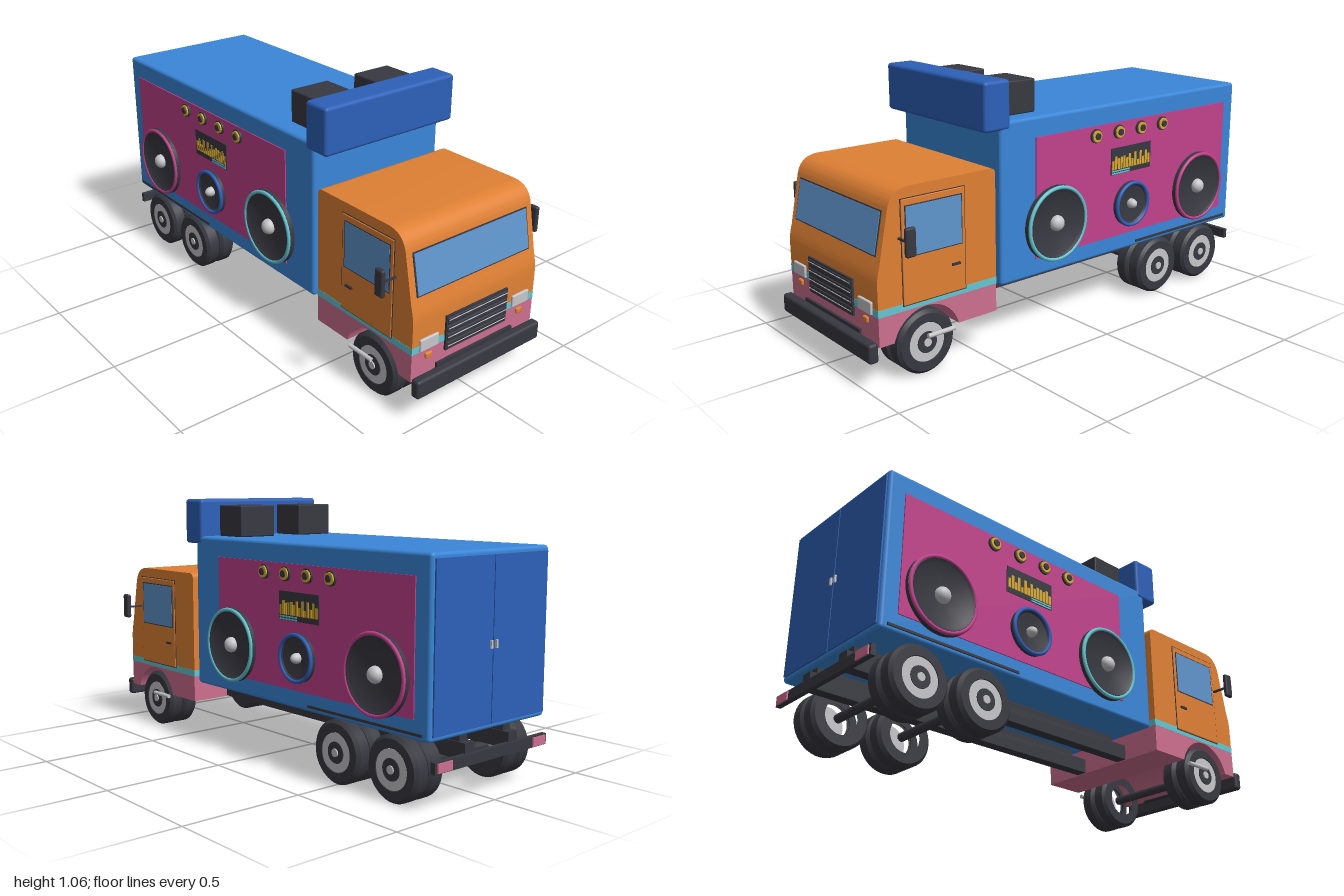
import * as THREE from 'three';
import { toCreasedNormals } from 'three/addons/utils/BufferGeometryUtils.js';
import { RoundedBoxGeometry } from 'three/addons/geometries/RoundedBoxGeometry.js';

const flat = (name, color) => {
  const m = new THREE.MeshStandardMaterial({ color });
  m.name = name;
  return m;
};

export function createModel() {
  const blue = flat('bodyBlue', 0x3a86d8), deepBlue = flat('deepBlue', 0x2d60b8);
  const orange = flat('cabOrange', 0xdf8034), pink = flat('dustyPink', 0xcd6f8e);
  const magenta = flat('magenta', 0xc2418c), cyan = flat('cyan', 0x64c6d2);
  const dark = flat('charcoal', 0x383841), glass = flat('glass', 0x5f95cc);
  const silver = flat('silver', 0xc6c6ca), gold = flat('gold', 0xd9a92e);
  const truck = new THREE.Group();
  truck.name = 'soundTruck';

  const add = (name, geo, mat, x = 0, y = 0, z = 0, parent = truck) => {
    const m = new THREE.Mesh(geo, mat);
    m.name = name;
    m.position.set(x, y, z);
    parent.add(m);
    return m;
  };
  const box = (name, mat, w, h, d, x, y, z, r = 0, parent = truck) =>
    add(name, r ? new RoundedBoxGeometry(w, h, d, 3, r) : new THREE.BoxGeometry(w, h, d), mat, x, y, z, parent);
  // round part whose axis lies along x
  const disc = (name, mat, r, w, x, y, z, seg = 32, parent = truck) =>
    add(name, new THREE.CylinderGeometry(r, r, w, seg).rotateZ(-Math.PI / 2), mat, x, y, z, parent);
  // side profile in (z, y), extruded across the width
  const across = (name, mat, shape, width) => {
    const g = new THREE.ExtrudeGeometry(shape, { depth: width, bevelEnabled: false, curveSegments: 20 });
    g.translate(0, 0, -width / 2).rotateY(-Math.PI / 2);
    return add(name, toCreasedNormals(g, 0.6), mat);
  };
  // turned part: points are (radius, height), axis along x towards side s
  const turned = (name, mat, pts, s, x, y, z, parent = truck) => {
    const g = new THREE.LatheGeometry(pts.map(p => new THREE.Vector2(...p)), 40).rotateZ(-s * Math.PI / 2);
    return add(name, toCreasedNormals(g, 0.5), mat, x, y, z, parent);
  };

  // cab: lower skirt with wheel arch, stripe, upper shell
  const backZ = 0.428, frontZ = 0.955, archY = 0.125, archR = 0.148;
  const reach = Math.sqrt(archR ** 2 - (0.165 - archY) ** 2);
  const a = Math.atan2(0.165 - archY, reach);
  const skirt = new THREE.Shape();
  skirt.moveTo(backZ, 0.165);
  skirt.lineTo(0.75 - reach, 0.165);
  skirt.absarc(0.75, archY, archR, Math.PI - a, a, true);
  skirt.lineTo(frontZ, 0.165);
  skirt.lineTo(frontZ, 0.277);
  skirt.lineTo(backZ, 0.277);
  across('cabSkirt', pink, skirt, 0.64);
  box('cabStripe', cyan, 0.642, 0.028, frontZ - backZ + 0.002, 0, 0.291, (frontZ + backZ) / 2);
  const shell = new THREE.Shape();
  shell.moveTo(backZ, 0.305);
  shell.lineTo(frontZ, 0.305);
  shell.lineTo(frontZ, 0.4);
  shell.quadraticCurveTo(0.954, 0.43, 0.942, 0.47);
  shell.lineTo(0.904, 0.66);
  shell.quadraticCurveTo(0.89, 0.735, 0.81, 0.735);
  shell.lineTo(backZ + 0.025, 0.735);
  shell.quadraticCurveTo(backZ, 0.735, backZ, 0.71);
  across('cabShell', orange, shell, 0.64);

  // windscreen
  const screen = new THREE.Group();
  screen.name = 'windscreen';
  screen.position.set(0, 0.575, 0.922);
  screen.rotation.x = -Math.atan2(0.038, 0.19);
  truck.add(screen);
  box('windscreenSeal', dark, 0.582, 0.166, 0.004, 0, 0, 0, 0, screen);
  box('windscreenGlass', glass, 0.572, 0.156, 0.008, 0, 0, 0, 0, screen);

  // grille and bumper
  box('grille', dark, 0.32, 0.142, 0.014, 0, 0.309, 0.957);
  for (let i = 0; i < 4; i++) {
    box('grilleSlat', dark, 0.31, 0.026, 0.01, 0, 0.258 + i * 0.034, 0.963, 0.004);
    box('grilleTrim', silver, 0.306, 0.003, 0.006, 0, 0.256 + i * 0.036, 0.967);
  }
  box('frontBumper', dark, 0.65, 0.076, 0.04, 0, 0.15, 0.98, 0.012);
  box('bumperMount', dark, 0.4, 0.04, 0.03, 0, 0.18, 0.95);

  // chassis and rear bar
  box('rearBar', dark, 0.62, 0.042, 0.02, 0, 0.172, -0.98);

  // cargo body, rear doors, sign and roof cabinets
  box('cargoBody', blue, 0.638, 0.645, 1.37, 0, 0.578, -0.285, 0.014);
  box('roofSign', deepBlue, 0.645, 0.19, 0.122, 0, 0.963, 0.414, 0.014);
  box('doorGap', dark, 0.006, 0.6, 0.006, 0, 0.578, -0.97);

  // wheels: paired tyres with hub
  const tyre = [[0.07, -0.035], [0.112, -0.035], [0.125, -0.022], [0.125, 0.022], [0.112, 0.035], [0.078, 0.035], [0.072, 0.022], [0, 0.022]];
  const wheel = (s, z) => {
    const g = new THREE.Group();
    g.name = 'wheel';
    g.position.set(0, 0.127, z);
    truck.add(g);
    turned('innerTyre', dark, tyre, s, s * 0.209, 0, 0, g);
    turned('outerTyre', dark, tyre, s, s * 0.282, 0, 0, g);
    disc('rim', silver, 0.076, 0.03, s * 0.3, 0, 0, 32, g);
    disc('hub', dark, 0.042, 0.03, s * 0.303, 0, 0, 24, g);
    disc('hubCap', silver, 0.016, 0.03, s * 0.308, 0, 0, 16, g);
  };
  for (const z of [0.75, -0.5, -0.79]) disc('axle', dark, 0.018, 0.4, 0, 0.127, z, 12);

  // loudspeaker with coloured ring and dome
  const speaker = (s, z, r, ringMat, domeR) => {
    const g = new THREE.Group();
    g.name = 'loudspeaker';
    g.position.set(s * 0.321, 0.46, z);
    truck.add(g);
    turned('cone', dark, [[r, 0], [r, 0.019], [r * 0.9, 0.026], [r * 0.82, 0.018], [domeR, 0.008], [0, 0.008]], s, 0, 0, 0, g);
    add('ring', new THREE.TorusGeometry(r * 0.95, 0.008, 8, 48).rotateY(Math.PI / 2), ringMat, s * 0.022, 0, 0, g);
    const dome = add('dome', new THREE.SphereGeometry(domeR, 24, 16), silver, s * 0.014, 0, 0, g);
    dome.scale.x = 0.028 / domeR;
  };

  for (const s of [1, -1]) {
    for (const z of [0.75, -0.5, -0.79]) wheel(s, z);

    // cab front lamps
    box('headlight', silver, 0.09, 0.05, 0.014, s * 0.24, 0.304, 0.957, 0.005);
    box('indicator', orange, 0.032, 0.024, 0.014, s * 0.24, 0.252, 0.957, 0.006);

    // cab door, window, handle and mirror
    box('doorSeam', dark, 0.004, 0.4, 0.28, s * 0.32, 0.494, 0.712);
    box('cabDoor', orange, 0.01, 0.394, 0.274, s * 0.32, 0.494, 0.712, 0.003);
    box('sideWindowSeal', dark, 0.008, 0.192, 0.248, s * 0.3225, 0.572, 0.712);
    box('sideWindow', glass, 0.008, 0.184, 0.24, s * 0.3235, 0.572, 0.712);
    box('doorHandle', dark, 0.012, 0.009, 0.036, s * 0.326, 0.405, 0.62);
    box('mirror', dark, 0.02, 0.108, 0.042, s * 0.397, 0.559, 0.863, 0.008);
    box('mirrorArm', dark, 0.08, 0.008, 0.008, s * 0.352, 0.553, 0.86);
    add('stepPipe', new THREE.CylinderGeometry(0.009, 0.009, 0.12, 12).rotateX(Math.PI / 2), silver, s * 0.326, 0.154, 0.692);

    // chassis rail and rear lamp
    box('chassisRail', dark, 0.05, 0.062, 1.42, s * 0.12, 0.199, -0.27);
    box('bodyBearer', dark, 0.04, 0.04, 1.3, s * 0.12, 0.245, -0.3);
    box('rearLamp', pink, 0.075, 0.034, 0.02, s * 0.262, 0.172, -0.986);

    // rear door and handle, roof cabinet
    box('rearDoor', deepBlue, 0.302, 0.605, 0.01, s * 0.153, 0.578, -0.971);
    box('rearDoorHandle', silver, 0.01, 0.03, 0.012, s * 0.014, 0.565, -0.978);
    box('roofCabinet', dark, 0.178, 0.132, 0.157, s * 0.157, 0.967, 0.247, 0.006);

    // side panel with loudspeakers
    box('sidePanel', magenta, 0.008, 0.492, 1.128, s * 0.3195, 0.574, -0.336);
    box('sideSkirtStrip', dark, 0.01, 0.01, 0.595, s * 0.319, 0.278, -0.643);
    speaker(s, 0.128, 0.155, cyan, 0.032);
    speaker(s, -0.725, 0.155, magenta, 0.032);
    speaker(s, -0.297, 0.096, deepBlue, 0.021);
    for (let i = 0; i < 4; i++) {
      const z = -0.088 - i * 0.131;
      disc('tweeterBase', dark, 0.029, 0.012, s * 0.326, 0.78, z, 24);
      disc('tweeterRing', gold, 0.024, 0.018, s * 0.329, 0.78, z, 24);
      disc('tweeterCentre', dark, 0.014, 0.022, s * 0.332, 0.78, z, 16);
    }

    // display with level bars
    box('display', dark, 0.008, 0.113, 0.236, s * 0.3225, 0.656, -0.297);
    for (let i = 0; i < 14; i++) {
      const h = 0.024 + 0.036 * Math.abs(Math.sin(i * 1.7 + 0.4));
      box('levelBar', gold, 0.006, h, 0.0125, s * 0.325, 0.621 + h / 2, -0.19 - i * 0.0163);
    }
    for (let i = 0; i < 2; i++) box('levelBase', cyan, 0.006, 0.006, 0.105, s * 0.325, 0.604 + i * 0.01, -0.236);
  }
  return truck;
}
